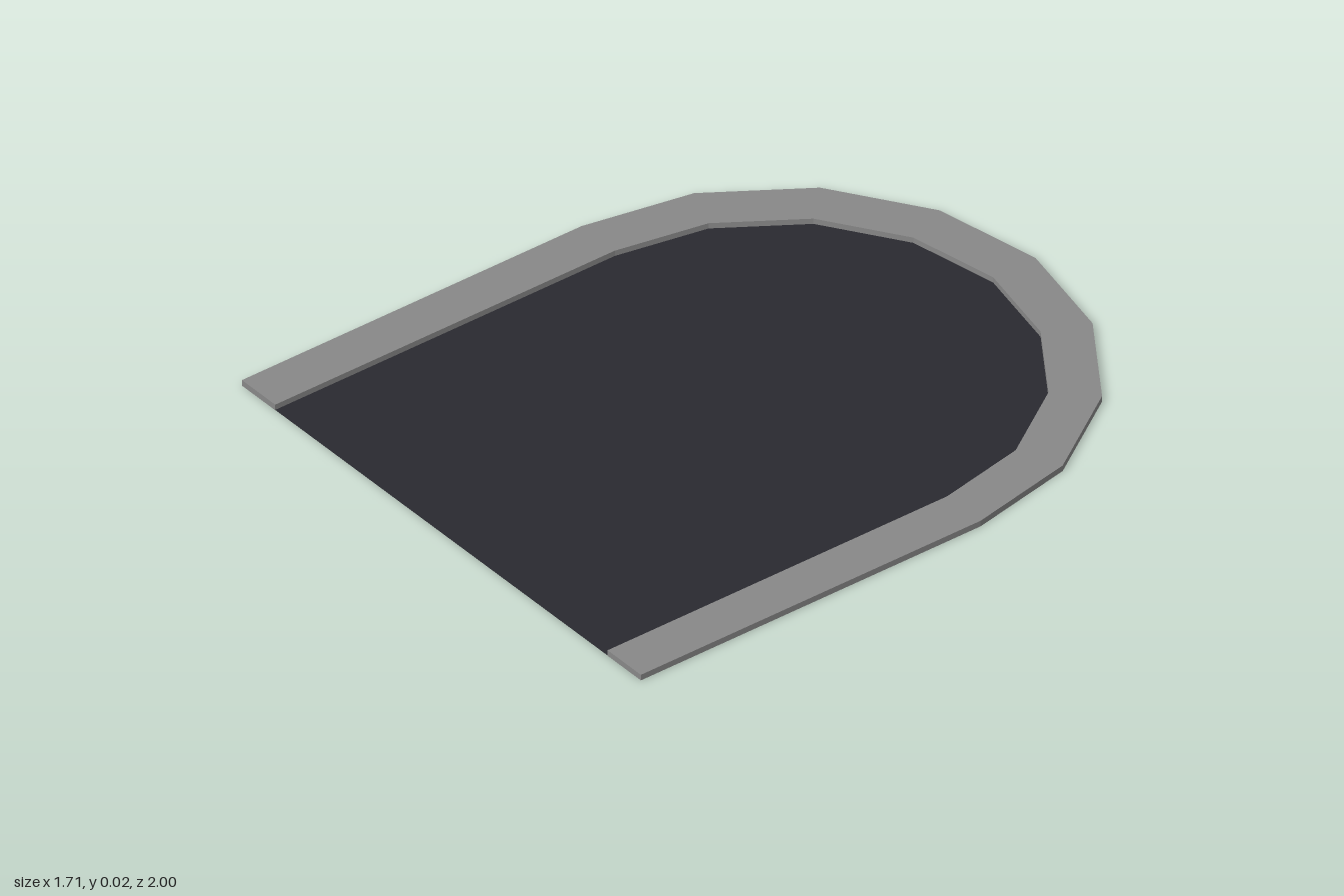
import * as THREE from 'three';

const OUTER = 0.857, INNER = 0.714; // arch radii
const ARCH_Z = -0.143;              // centre of the arch
const FRONT_Z = 1;
const HEIGHT = 0.018;
const SEGMENTS = 8;

// Arched outline from the front right corner, round the back, to the front left (shape y = -z)
function archOutline(radius) {
  const points = [new THREE.Vector2(radius, -FRONT_Z)];
  for (let i = 0; i <= SEGMENTS; i++) {
    const a = (i / SEGMENTS) * Math.PI;
    points.push(new THREE.Vector2(radius * Math.cos(a), -ARCH_Z + radius * Math.sin(a)));
  }
  points.push(new THREE.Vector2(-radius, -FRONT_Z));
  return points;
}

export function createModel() {
  const group = new THREE.Group();
  group.name = 'archedFloorPanel';

  // Raised border, open at the front
  const borderShape = new THREE.Shape([...archOutline(OUTER), ...archOutline(INNER).reverse()]);
  const borderGeometry = new THREE.ExtrudeGeometry(borderShape, { depth: HEIGHT, bevelEnabled: false });
  borderGeometry.rotateX(-Math.PI / 2);
  const border = new THREE.Mesh(borderGeometry,
    new THREE.MeshStandardMaterial({ color: 0x888888, flatShading: true }));
  border.name = 'border';
  group.add(border);

  // Thin dark sheet lying inside the border
  const sheetGeometry = new THREE.ShapeGeometry(new THREE.Shape(archOutline(INNER)));
  sheetGeometry.rotateX(-Math.PI / 2);
  const sheet = new THREE.Mesh(sheetGeometry,
    new THREE.MeshStandardMaterial({ color: 0x2a2a30, side: THREE.DoubleSide }));
  sheet.name = 'innerSheet';
  sheet.position.y = 0.001;
  group.add(sheet);

  return group;
}
